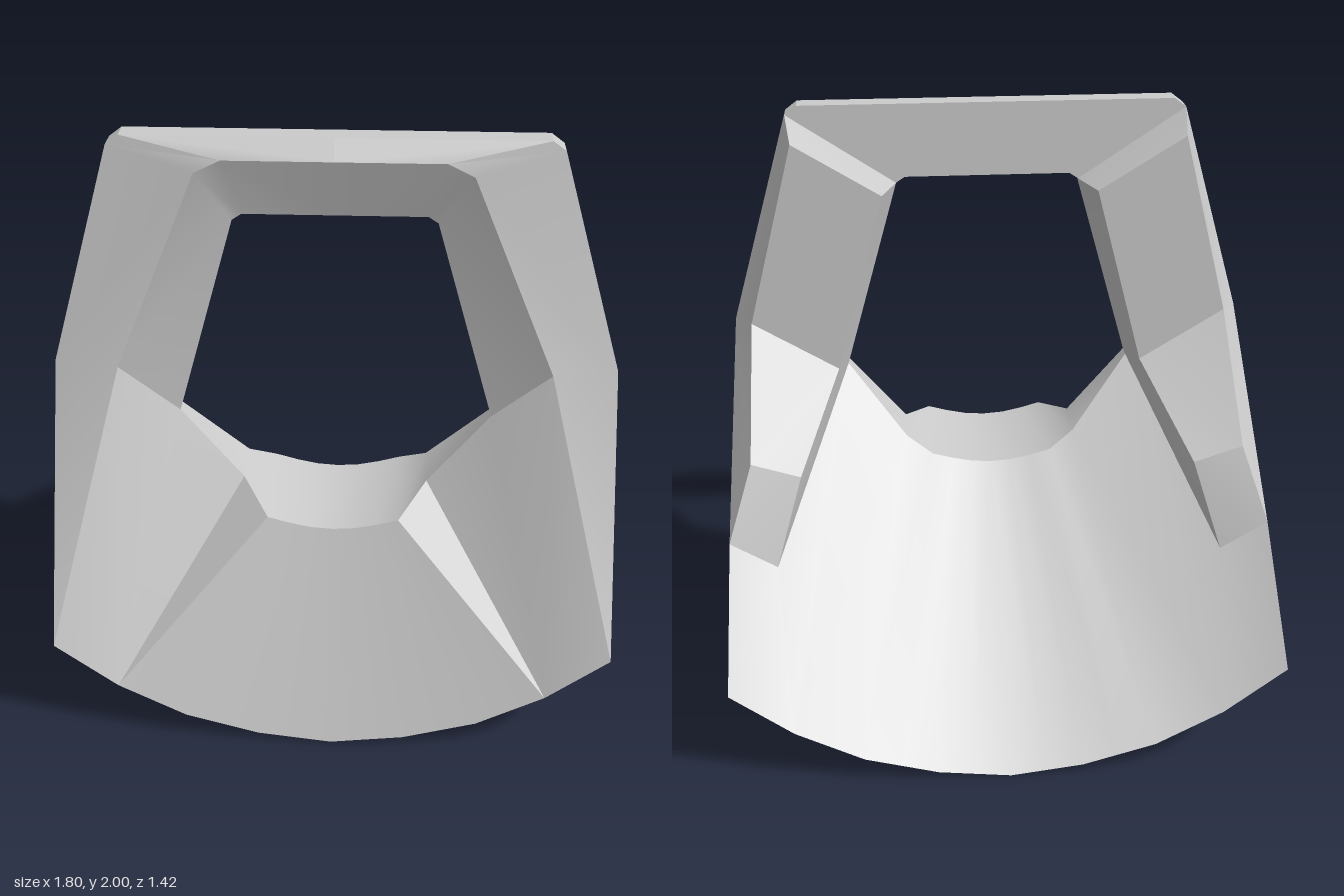
import * as THREE from 'three';
import { toCreasedNormals } from 'three/addons/utils/BufferGeometryUtils.js';

const material = new THREE.MeshStandardMaterial({ color: 0xcccccc, side: THREE.DoubleSide });

// Quads joining two rows of points
function strip(a, b, closed = false) {
  const quads = [];
  const n = a.length;
  for (let i = 0; i < (closed ? n : n - 1); i++) {
    const j = (i + 1) % n;
    quads.push([a[i], a[j], b[j], b[i]]);
  }
  return quads;
}

// Mesh from polygons on the +x half, mirrored to -x
function mirroredPart(name, polygons, crease = 0.45) {
  const positions = [];
  const va = new THREE.Vector3(), vb = new THREE.Vector3(), vc = new THREE.Vector3();
  for (const poly of polygons) {
    for (let i = 1; i < poly.length - 1; i++) {
      const [a, b, c] = [poly[0], poly[i], poly[i + 1]];
      va.set(...a); vb.set(...b).sub(va); vc.set(...c).sub(va);
      if (vb.cross(vc).length() < 1e-7) continue;
      positions.push(...a, ...b, ...c);
      for (const p of [a, c, b]) positions.push(-p[0], p[1], p[2]);
    }
  }
  const geometry = new THREE.BufferGeometry();
  geometry.setAttribute('position', new THREE.Float32BufferAttribute(positions, 3));
  const mesh = new THREE.Mesh(toCreasedNormals(geometry, crease), material);
  mesh.name = name;
  return mesh;
}

const atZ = (points, z) => points.map(([x, y]) => [x, y, z]);

export function createModel() {
  const group = new THREE.Group();
  group.name = 'saddleBracket';
  const add = (name, polygons, crease) => group.add(mirroredPart(name, polygons, crease));

  // Curved lower edge, shared by front and back
  const arc = [[0, 0], [0.12, 0.015], [0.24, 0.03], [0.36, 0.065], [0.48, 0.1], [0.7, 0.22], [0.9, 0.38]];
  const frontArc = atZ(arc, 0.71), backArc = atZ(arc, -0.71);
  const foot = frontArc[6], grooveFoot = frontArc[5];

  // Lower rim of the opening
  const rim = [[0, 0.73], [0.07, 0.735], [0.14, 0.75], [0.21, 0.77]];
  const frontRim = atZ(rim, 0.51);
  const grooveTop = [0.3, 0.82, 0.35];
  const backRim = [...atZ(rim, 0.13), [0.3, 0.82, 0.18]];

  // Frame loops running upward from the side to the middle of the top bar
  const outline = [[0.885, 1.25], [0.67, 1.97], [0.63, 2], [0, 2]];
  const outerFront = atZ(outline, 0.36), outerBack = atZ(outline, 0.29);
  const crease = atZ([[0.68, 1.25], [0.41, 1.9], [0.33, 1.94], [0, 1.94]], 0.4);
  const opening = [[0.5, 1.065], [0.31, 1.73], [0.28, 1.75], [0, 1.75]];
  const holeFront = atZ(opening, 0.34), holeBack = atZ(opening, 0.29);

  // Rear rib corners, outer and inner, from top to end
  const ribOut = [[0.65, 1.91, 0.15], [0.82, 1.28, 0.17], [0.82, 0.95, -0.23], [0.9, 0.71, -0.33]];
  const ribIn = [[0.36, 1.73, 0.15], [0.53, 1.1, 0.17], [0.66, 0.89, -0.22], [0.75, 0.6, -0.31]];

  add('frontPanel', strip([0, 2, 4, 5].map(i => frontArc[i]), frontRim));
  add('grooveWall', [[grooveFoot, grooveTop, frontRim[3]]]);
  add('frontCheek', [[grooveFoot, foot, crease[0], holeFront[0], grooveTop]]);
  add('frameFront', strip([foot, ...outerFront], [foot, ...crease]));
  add('openingBevel', strip(crease, holeFront));
  add('openingWall', strip(holeFront, holeBack));
  add('frameEdge', strip(outerBack, outerFront));
  add('topBarBack', strip(holeBack.slice(1), outerBack.slice(1)));

  // Saddle floor and curved rear sheet
  add('saddleFloor', strip([...frontRim, grooveTop, holeFront[0]], [...backRim, holeBack[0]]));
  add('rearSheet', strip(
    [...backRim, holeBack[0], ribIn[3], ribOut[3]],
    [...backArc.slice(0, 6), backArc[5], backArc[6]]
  ), 0.6);

  // Rear ribs: back faces, inner wall, outer wall and sloped cap
  add('rearRib', [
    ...strip(ribIn, ribOut),
    [holeBack[1], holeBack[0], ribIn[1], ribIn[0]],
    [holeBack[0], ribIn[3], ribIn[2], ribIn[1]],
    [outerBack[1], ribOut[0], ribOut[1], outerBack[0]],
    [outerBack[0], ribOut[1], ribOut[2], ribOut[3]],
    [outerBack[1], holeBack[1], ribIn[0], ribOut[0]],
  ], 0.2);

  // Side walls with a triangular recess; points given as z, y
  const sideX = y => 0.9 - 0.017 * (y - 0.38);
  const mouth = [[0.52, 0.46], [0.26, 1.08], [0.22, 1.08], [-0.47, 0.46]].map(([z, y]) => [sideX(y), y, z]);
  const pocket = [[0.33, 0.54], [0.19, 0.91], [0.16, 0.91], [-0.25, 0.54]].map(([z, y]) => [0.8, y, z]);
  const sideLoop = [foot, outerFront[0], outerBack[0], ribOut[3], backArc[6]];
  add('sideWall', strip([...mouth, mouth[3]], sideLoop, true));
  add('sideRecess', [...strip(pocket, mouth, true), [...pocket].reverse()], 0.2);

  return group;
}
